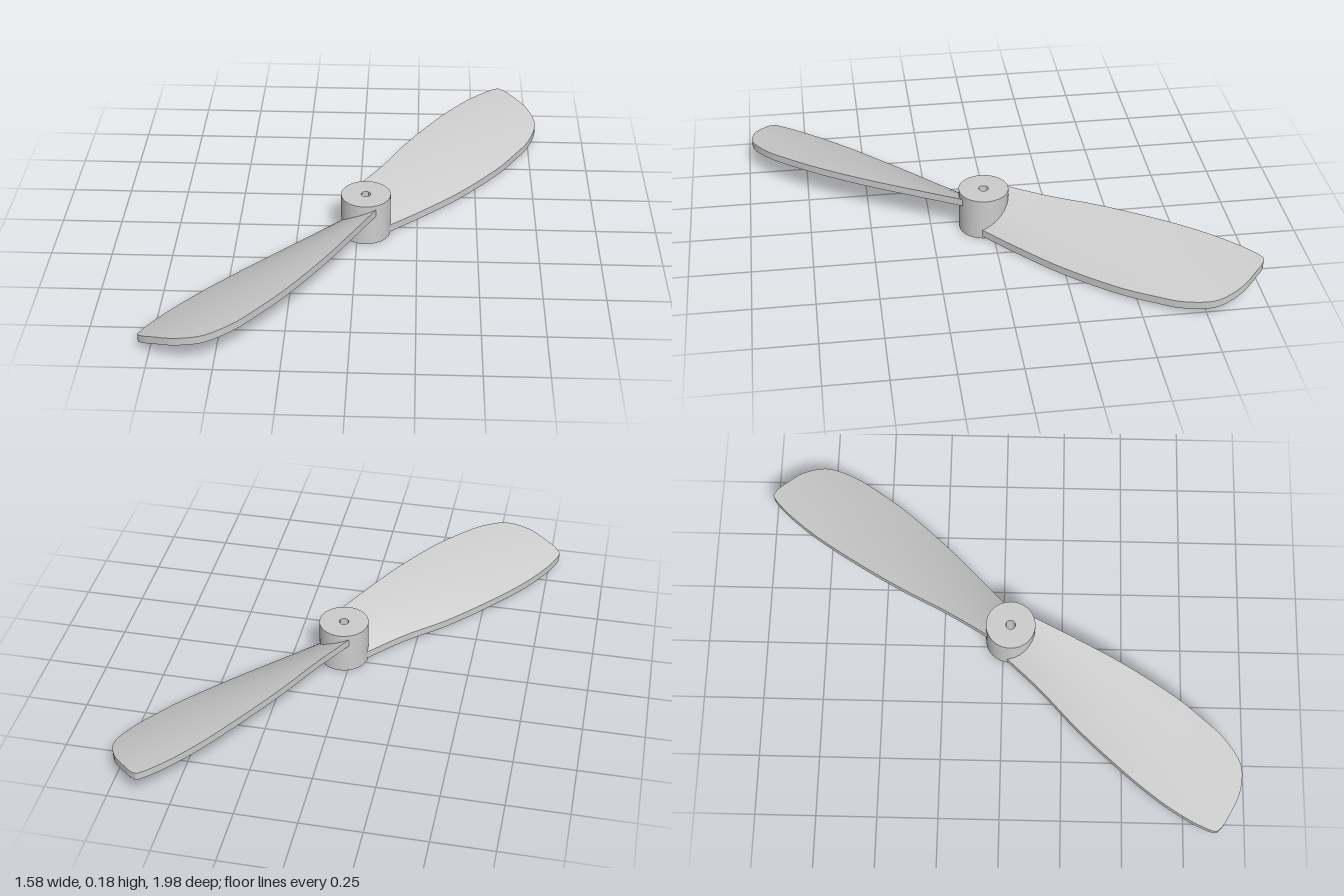
import * as THREE from 'three';
import { toCreasedNormals } from 'three/addons/utils/BufferGeometryUtils.js';

const material = new THREE.MeshStandardMaterial({ color: 0xcccccc });
const HUB_R = 0.103, HUB_H = 0.18, BORE_R = 0.02, THICK = 0.032;

// Blade outline: distance from the axis, left edge, right edge
const outline = new THREE.CatmullRomCurve3([
  [0.04, 0.088, -0.09], [0.25, 0.112, -0.126], [0.47, 0.15, -0.158], [0.73, 0.178, -0.176],
  [0.87, 0.186, -0.17], [0.967, 0.186, -0.161], [1.074, 0.178, -0.127], [1.116, 0.171, -0.095],
  [1.162, 0.16, -0.015], [1.18, 0.146, 0.08], [1.184, 0.125, 0.108],
].map(p => new THREE.Vector3(...p)));

// Upper surface: arched, with a pitch that flattens towards the tip
function surfaceY(s, p) {
  const pitch = 1 / (1.4 + 2.2 * s);
  const half = 0.09 + 0.09 * Math.min(s / 0.75, 1);
  return 0.1 + pitch * p + 0.012 * (1 - (p / half) ** 2);
}

// Twisted blade lofted along +x; mirrored swaps the outline's two edges
function bladeGeometry(mirrored) {
  const rows = 60, cols = 16, ring = 2 * (cols + 1);
  const positions = [], index = [];
  for (let i = 0; i <= rows; i++) {
    const { x: s, y: a, z: b } = outline.getPoint(i / rows);
    const left = mirrored ? -b : a, right = mirrored ? -a : b;
    for (let k = 0; k < ring; k++) {
      const top = k <= cols;
      const t = (top ? k : ring - 1 - k) / cols;
      const p = left + (right - left) * t;
      positions.push(s, surfaceY(s, p) - (top ? 0 : THICK), -p);
    }
  }
  for (let i = 0; i < rows; i++) {
    for (let k = 0; k < ring; k++) {
      const a = i * ring + k, b = i * ring + (k + 1) % ring;
      index.push(a, b, a + ring, b, b + ring, a + ring);
    }
  }
  // Root and tip caps
  const end = rows * ring;
  for (let k = 0; k < cols; k++) {
    const a = k, b = k + 1, c = ring - 2 - k, d = ring - 1 - k;
    index.push(end + a, end + b, end + d, end + b, end + c, end + d);
    index.push(a, d, b, b, d, c);
  }
  const geometry = new THREE.BufferGeometry();
  geometry.setAttribute('position', new THREE.Float32BufferAttribute(positions, 3));
  geometry.setIndex(index);
  return toCreasedNormals(geometry, 0.6);
}

// Cylindrical hub with a through bore
function hubGeometry() {
  const profile = [[BORE_R, 0], [HUB_R, 0], [HUB_R, HUB_H], [BORE_R, HUB_H], [BORE_R, 0]]
    .map(p => new THREE.Vector2(...p));
  return toCreasedNormals(new THREE.LatheGeometry(profile, 64), 0.6);
}

export function createModel() {
  const model = new THREE.Group();
  model.name = 'propeller';

  const hub = new THREE.Mesh(hubGeometry(), material);
  hub.name = 'hub';
  model.add(hub);

  // Two opposed blades, the second with its outline mirrored
  const heading = Math.atan2(0.8, 0.6);
  [false, true].forEach((mirrored, i) => {
    const blade = new THREE.Mesh(bladeGeometry(mirrored), material);
    blade.name = mirrored ? 'frontBlade' : 'rearBlade';
    blade.rotation.y = heading + i * Math.PI;
    model.add(blade);
  });

  model.position.set(0.035, 0, 0.03);
  return model;
}
